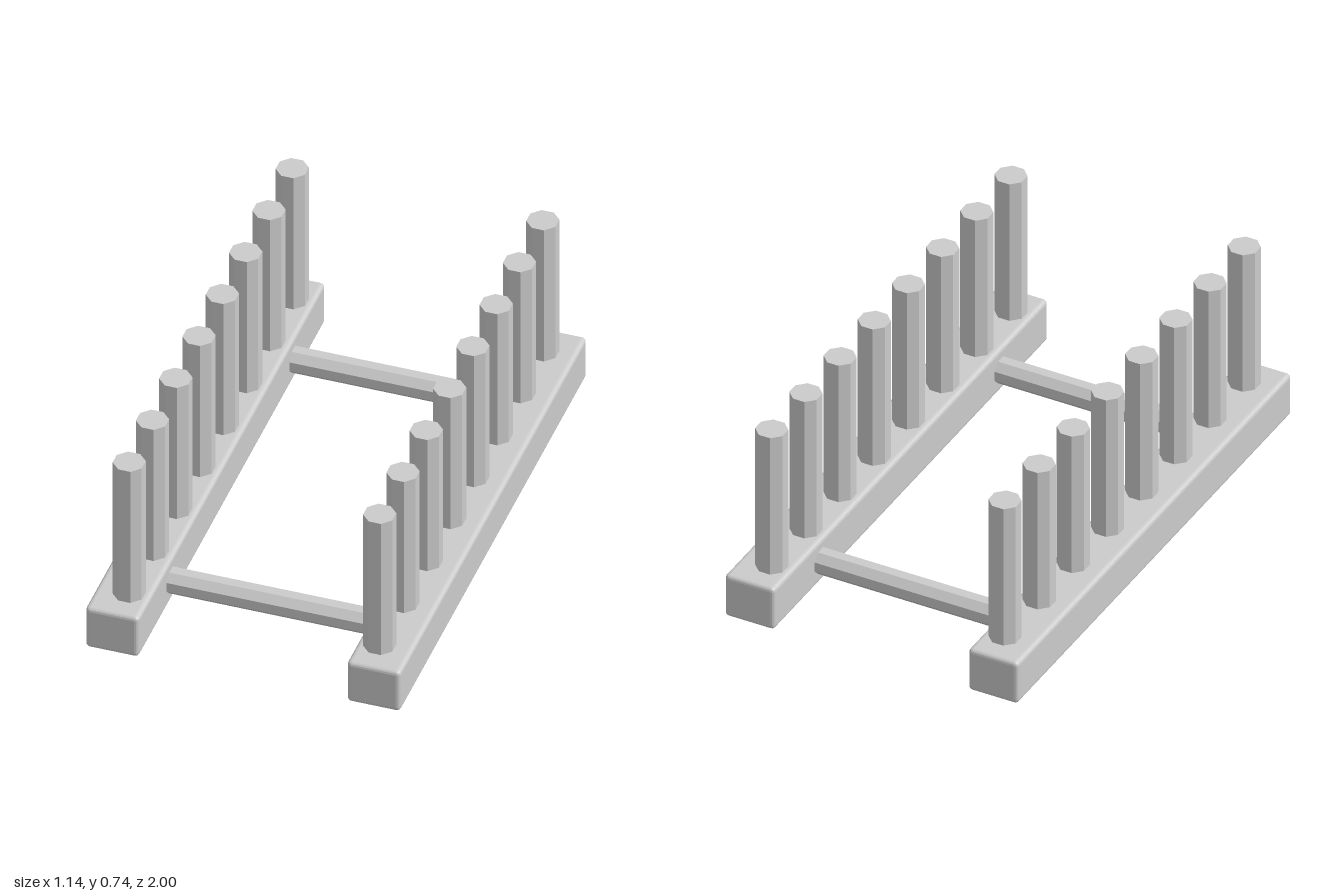
import * as THREE from 'three';
import { RoundedBoxGeometry } from 'three/addons/geometries/RoundedBoxGeometry.js';

const material = new THREE.MeshStandardMaterial({ color: 0xcccccc, flatShading: true });

function addPart(parent, name, geometry, x, y, z) {
  const mesh = new THREE.Mesh(geometry, material);
  mesh.name = name;
  mesh.position.set(x, y, z);
  parent.add(mesh);
  return mesh;
}

// Faceted rod with flats facing the axes; acrossFlats is its thickness
function rodGeometry(acrossFlats, length) {
  const sides = 8;
  const radius = acrossFlats / 2 / Math.cos(Math.PI / sides);
  return new THREE.CylinderGeometry(radius, radius, length, sides).rotateY(Math.PI / sides);
}

export function createModel() {
  const model = new THREE.Group();
  model.name = 'dishRack';

  const railHeight = 0.172, pegTop = 0.742, pegBottom = 0.15;
  const railGeometry = new RoundedBoxGeometry(0.194, railHeight, 2, 2, 0.016);
  const pegGeometry = rodGeometry(0.106, pegTop - pegBottom);
  const barGeometry = rodGeometry(0.09, 0.8).rotateZ(Math.PI / 2);

  // Two long rails, each with a row of eight upright pegs
  for (const [side, sign] of [['left', 1], ['right', -1]]) {
    const half = new THREE.Group();
    half.name = side + 'Side';
    addPart(half, side + 'Rail', railGeometry, sign * 0.475, railHeight / 2, 0);
    for (let i = 0; i < 8; i++) {
      const z = (i - 3.5) * 0.249;
      addPart(half, side + 'Peg' + (i + 1), pegGeometry, sign * 0.455, (pegTop + pegBottom) / 2, z);
    }
    model.add(half);
  }

  // Cross bars joining the rails
  addPart(model, 'frontCrossBar', barGeometry, 0, 0.087, 0.652);
  addPart(model, 'backCrossBar', barGeometry, 0, 0.087, -0.658);

  return model;
}
